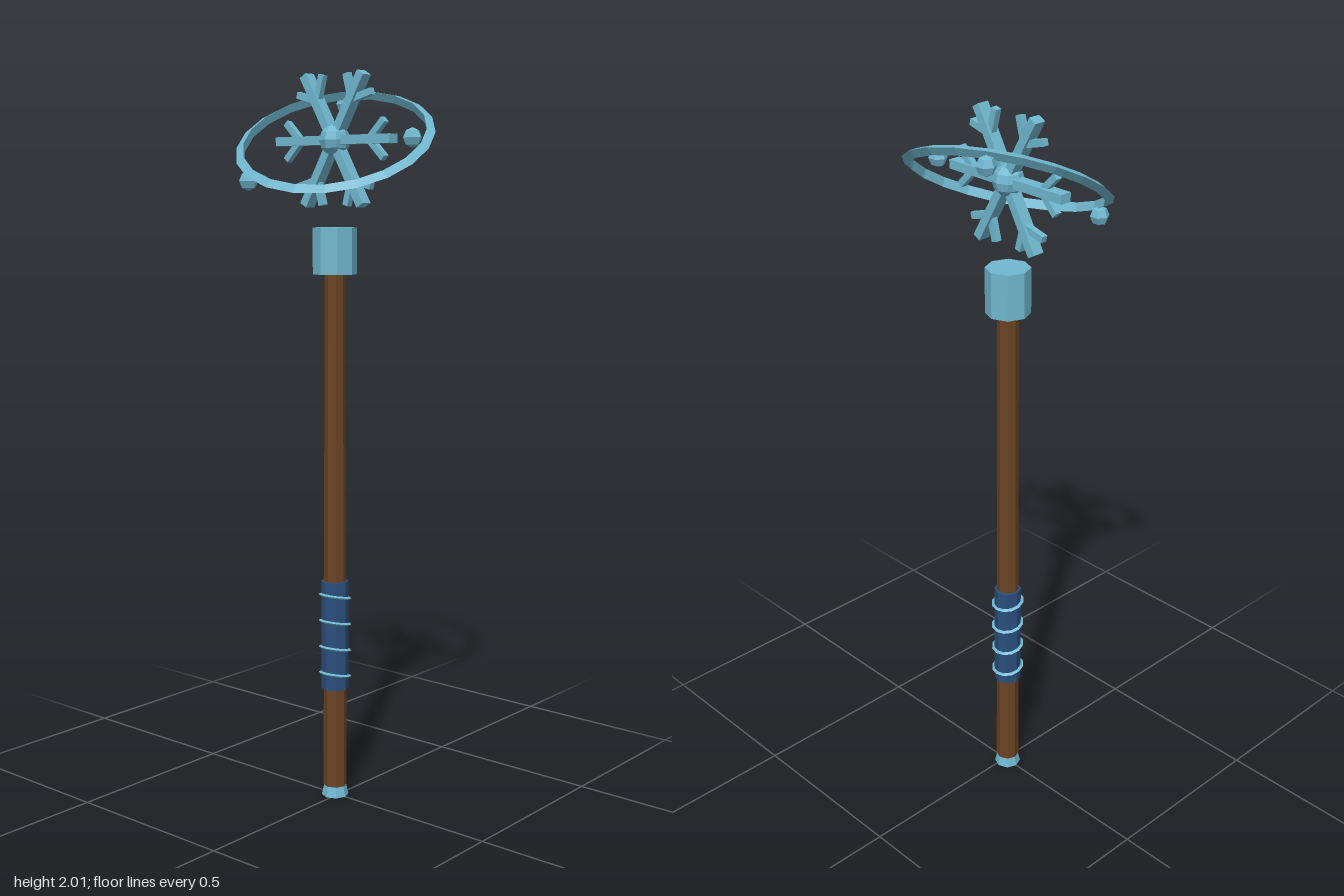
import * as THREE from 'three';

const CX = -0.01;      // axis of the staff
const HEAD_Y = 1.83;   // height of the floating head

export function createModel() {
  const mat = (name, color) => {
    const m = new THREE.MeshStandardMaterial({ color, flatShading: true });
    m.name = name;
    return m;
  };
  const ice = mat('ice blue', 0x70b8d0);
  const wood = mat('brown wood', 0x6b4423);
  const wrap = mat('dark blue wrap', 0x2a4f7c);

  const model = new THREE.Group();
  model.name = 'staff';
  const add = (parent, name, geo, material, x = 0, y = 0, z = 0) => {
    const mesh = new THREE.Mesh(geo, material);
    mesh.name = name;
    mesh.position.set(x, y, z);
    parent.add(mesh);
    return mesh;
  };
  // Faceted upright section between two heights
  const section = (name, material, y0, y1, rTop, rBottom) =>
    add(model, name, new THREE.CylinderGeometry(rTop, rBottom, y1 - y0, 8), material, CX, (y0 + y1) / 2);

  section('pommel', ice, 0, 0.035, 0.03, 0.038);
  section('shaft', wood, 0.03, 1.48, 0.028, 0.033);
  section('grip', wrap, 0.315, 0.625, 0.038, 0.038);
  section('collar', ice, 1.475, 1.6, 0.06, 0.06);

  // Tilted bands around the grip
  for (let i = 0; i < 4; i++) {
    const geo = new THREE.TorusGeometry(0.042, 0.005, 3, 12).rotateX(Math.PI / 2);
    add(model, 'gripBand', geo, ice, CX, 0.355 + i * 0.075).rotation.x = -0.2;
  }

  // Floating snowflake
  const flake = new THREE.Group();
  flake.name = 'snowflake';
  flake.position.set(CX, HEAD_Y, 0);
  model.add(flake);
  add(flake, 'core', new THREE.SphereGeometry(0.042, 8, 6), ice);
  for (let i = 0; i < 6; i++) {
    const arm = new THREE.Group();
    arm.name = 'arm';
    arm.rotation.z = i * Math.PI / 3;
    flake.add(arm);
    add(arm, 'spoke', new THREE.BoxGeometry(0.198, 0.024, 0.034), ice, 0.099);
    for (const side of [-1, 1]) {
      const geo = new THREE.BoxGeometry(0.07, 0.018, 0.018).translate(0.035, 0, 0);
      add(arm, 'branch', geo, ice, 0.12).rotation.z = side * Math.PI / 4;
    }
  }

  // Tilted halo with a triangular section
  const halo = add(model, 'halo',
    new THREE.TorusGeometry(0.255, 0.0145, 3, 20).rotateX(Math.PI / 2), ice, CX, HEAD_Y);
  halo.rotation.set(0.5, 0, -0.25, 'ZXY');

  // Three orbiting beads
  for (let i = 0; i < 3; i++) {
    const a = i * Math.PI * 2 / 3;
    const s = 0.26 * Math.sin(a);
    add(model, 'bead', new THREE.SphereGeometry(0.026, 6, 4), ice,
      CX + 0.26 * Math.cos(a), HEAD_Y - s * Math.sin(0.5), s * Math.cos(0.5));
  }

  return model;
}
